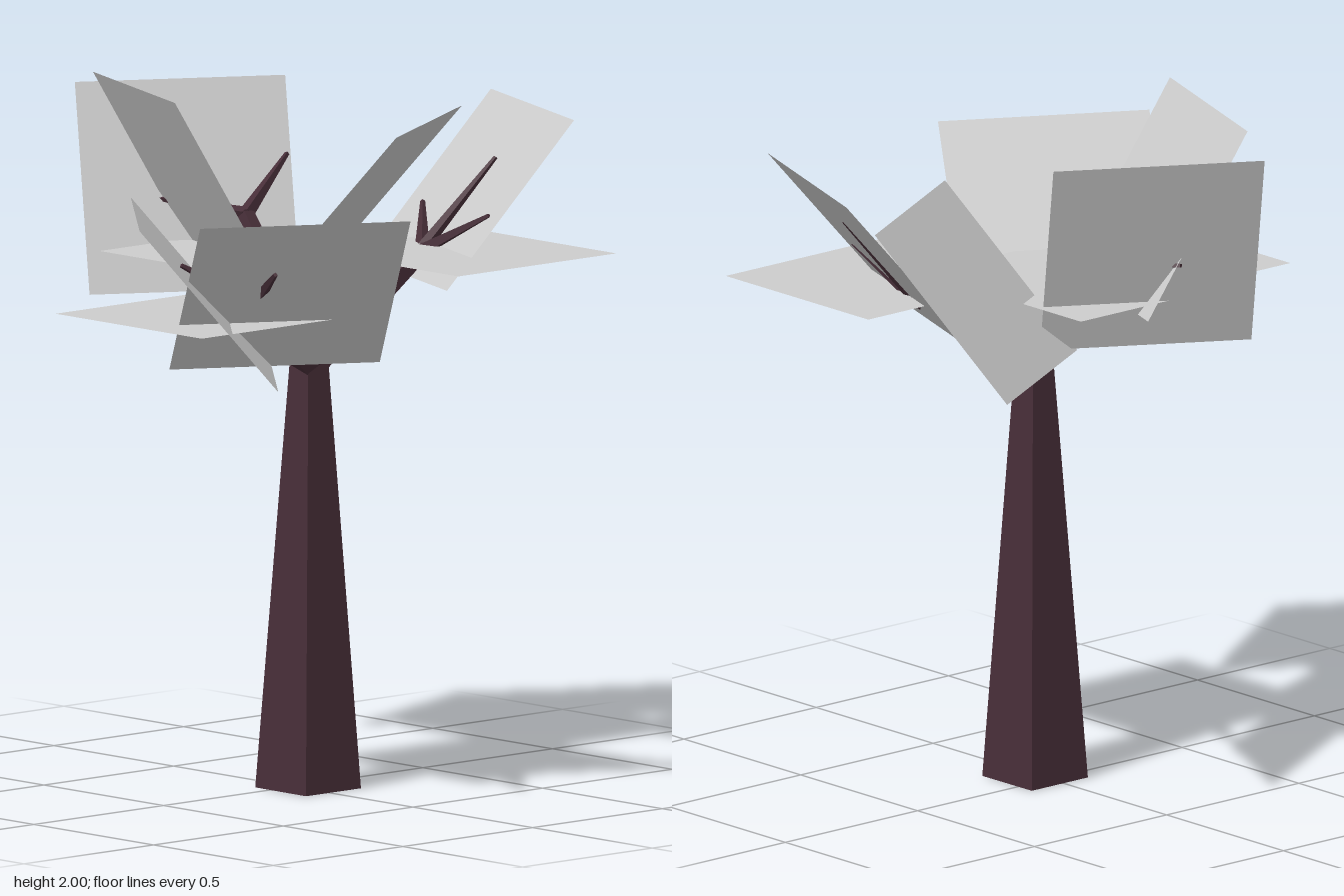
import * as THREE from 'three';

const bark = new THREE.MeshStandardMaterial({ color: 0x472e38 });
bark.name = 'dark bark';
bark.flatShading = true;
const leaf = new THREE.MeshStandardMaterial({ color: 0xcccccc, side: THREE.DoubleSide });
leaf.name = 'pale grey leaf';

const vec = (a) => new THREE.Vector3(...a);

// Four-sided tapering limb between two points; r0 and r1 are half widths
function limb(name, from, to, r0, r1) {
  const a = vec(from), b = vec(to);
  const dir = b.clone().sub(a);
  const geo = new THREE.CylinderGeometry(r1 * Math.SQRT2, r0 * Math.SQRT2, dir.length(), 4);
  geo.rotateY(Math.PI / 4);
  const mesh = new THREE.Mesh(geo, bark);
  mesh.name = name;
  mesh.position.copy(a).add(b).multiplyScalar(0.5);
  mesh.quaternion.setFromUnitVectors(new THREE.Vector3(0, 1, 0), dir.normalize());
  return mesh;
}

// Flat leaf card: two corners of the upper edge, and the offset to the lower edge
function card(name, start, end, drop) {
  const a = vec(start), u = vec(end).sub(a), v = vec(drop);
  const n = new THREE.Vector3().crossVectors(u, v).normalize();
  const centre = a.clone().addScaledVector(u, 0.5).addScaledVector(v, 0.5);
  const geo = new THREE.PlaneGeometry(1, 1);
  geo.applyMatrix4(new THREE.Matrix4().makeBasis(u, v, n).setPosition(centre));
  const mesh = new THREE.Mesh(geo, leaf);
  mesh.name = name;
  return mesh;
}

const SIZE = 0.61;
const FORK = [0.015, 1.22, 0.05];

// Each bough: branch tip, twig ends, level card corner, tilted cards
const boughs = [
  {
    name: 'backBough',
    tip: [0.08, 1.6, -0.285],
    twigs: [[0.295, 1.745, -0.345], [-0.01, 1.625, -0.55]],
    level: [-0.29, 1.51, -0.495],
    tilted: [
      [[-0.41, 2, -0.05], [-0.2, 2, -0.62], [0.283, -0.53, 0.105]],
      [[-0.15, 1.95, -0.75], [0.375, 1.95, -0.44], [-0.1, -0.58, 0.17]],
    ],
  },
  {
    name: 'rightBough',
    tip: [-0.43, 1.47, 0.305],
    twigs: [[-0.635, 1.59, 0.22], [-0.53, 1.585, 0.5]],
    level: [-0.75, 1.417, -0.18],
    tilted: [
      [[-0.92, 1.735, 0.355], [-0.525, 1.735, -0.11], [0.3, -0.465, 0.255]],
      [[-0.235, 1.735, 0.745], [-0.765, 1.735, 0.44], [0.195, -0.465, -0.34]],
    ],
  },
  {
    name: 'leftBough',
    tip: [0.47, 1.49, 0.03],
    twigs: [[0.505, 1.615, 0.27], [0.68, 1.745, 0.11], [0.61, 1.6, -0.12]],
    level: [0.147, 1.51, -0.08],
    tilted: [
      [[0.37, 1.825, 0.03], [0.9, 1.825, -0.27], [-0.2, -0.465, -0.34]],
      [[0.7, 1.885, 0.415], [0.91, 1.885, -0.16], [-0.37, -0.465, -0.13]],
    ],
  },
];

export function createModel() {
  const tree = new THREE.Group();
  tree.name = 'tree';

  // Square tapering trunk
  tree.add(limb('trunk', [0.015, 0, 0.046], FORK, 0.106, 0.039));

  for (const b of boughs) {
    const group = new THREE.Group();
    group.name = b.name;
    group.add(limb('branch', FORK, b.tip, 0.036, 0.018));
    b.twigs.forEach((end) => group.add(limb('twig', b.tip, end, 0.016, 0.005)));

    // One level leaf card and two tilted ones
    const [x, y, z] = b.level;
    group.add(card('levelLeaf', [x, y, z + SIZE], [x + SIZE, y, z + SIZE], [0, 0, -SIZE]));
    b.tilted.forEach((t) => group.add(card('tiltedLeaf', ...t)));
    tree.add(group);
  }
  return tree;
}
